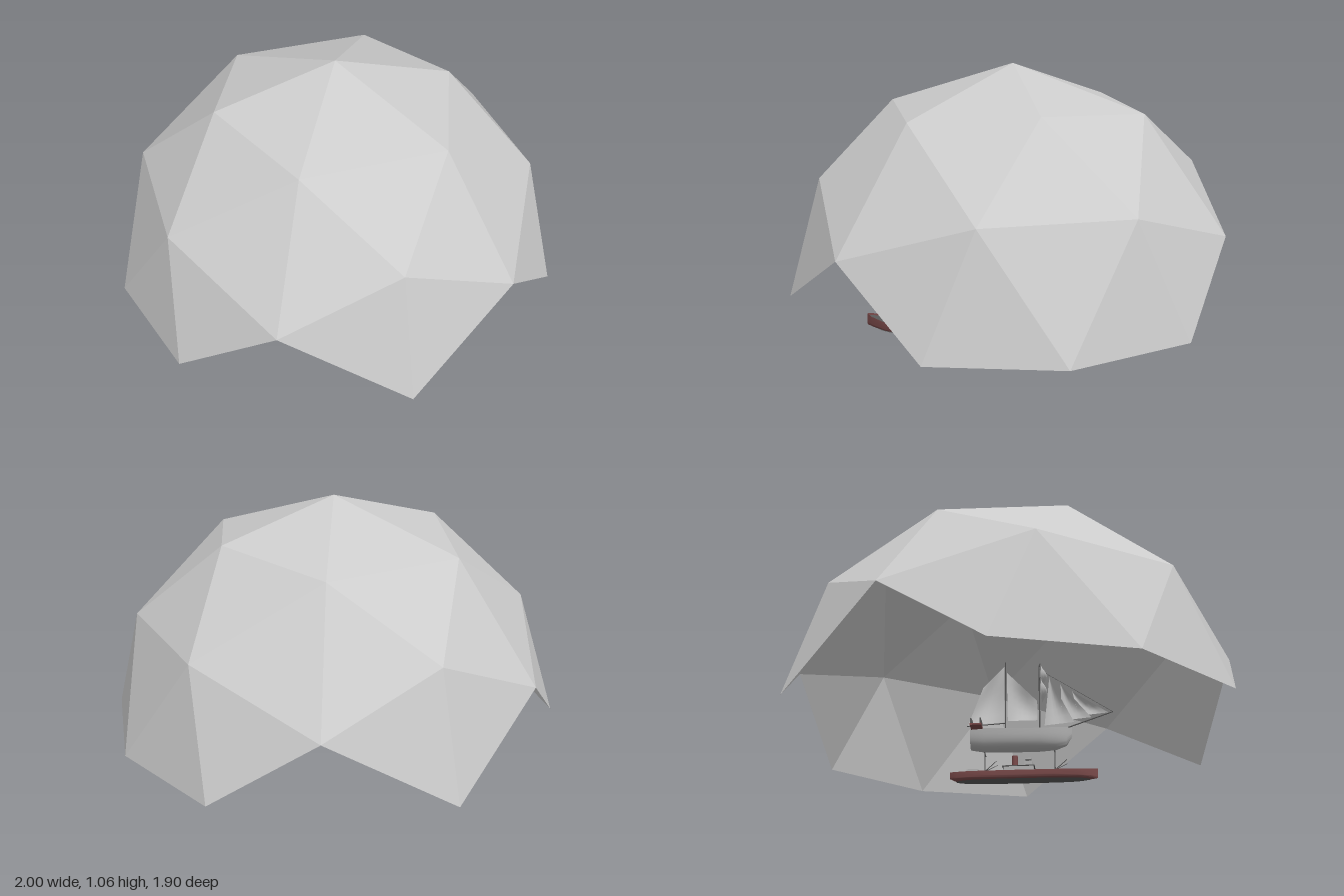
import * as THREE from 'three';
import { toCreasedNormals } from 'three/addons/utils/BufferGeometryUtils.js';

const paint = (name, hex) => {
  const m = new THREE.MeshStandardMaterial({ color: hex, side: THREE.DoubleSide });
  m.name = name;
  return m;
};

export function createModel() {
  const shellGrey = paint('shell grey', 0xcccccc);
  const sailGrey = paint('sail grey', 0xc4c4c4);
  const woodGrey = paint('hull grey', 0xb0b0b0);
  const maroon = paint('maroon', 0x7a4a4a);
  const darkGrey = paint('dark grey', 0x5a5a5a);

  const root = new THREE.Group();
  const V = (x, y, z) => new THREE.Vector3(x, y, z);

  function add(parent, name, geometry, material, x = 0, y = 0, z = 0) {
    const m = new THREE.Mesh(geometry, material);
    m.name = name;
    m.position.set(x, y, z);
    parent.add(m);
    return m;
  }
  const box = (p, name, mat, w, h, d, x, y, z) => add(p, name, new THREE.BoxGeometry(w, h, d), mat, x, y, z);

  // Thin round bar between two points
  function spar(p, name, mat, a, b, r = 0.0025) {
    const dir = b.clone().sub(a);
    const m = add(p, name, new THREE.CylinderGeometry(r * 0.8, r, dir.length(), 6), mat);
    m.position.copy(a).add(b).multiplyScalar(0.5);
    m.quaternion.setFromUnitVectors(V(0, 1, 0), dir.normalize());
    return m;
  }

  // Surface made from a grid of points fn(u, v)
  function grid(fn, nu, nv) {
    const pos = [], idx = [];
    for (let i = 0; i <= nu; i++) for (let j = 0; j <= nv; j++) pos.push(...fn(i / nu, j / nv, i).toArray());
    for (let i = 0; i < nu; i++) for (let j = 0; j < nv; j++) {
      const a = i * (nv + 1) + j, b = a + nv + 1;
      idx.push(a, a + 1, b, b, a + 1, b + 1);
    }
    const g = new THREE.BufferGeometry();
    g.setAttribute('position', new THREE.Float32BufferAttribute(pos, 3));
    g.setIndex(idx);
    g.computeVertexNormals();
    return g;
  }

  // Hull from stations [z, halfBeam, keelY, topY], with a flat deck
  function hull(p, stations, power, mat, deckMat, deckDrop) {
    const n = stations.length - 1;
    const skin = grid((u, v, i) => {
      const [z, b, k, t] = stations[i], a = v * Math.PI;
      const c = Math.cos(a);
      return V(Math.sign(c) * b * Math.abs(c) ** power, t - (t - k) * Math.abs(Math.sin(a)) ** power, z);
    }, n, 16);
    add(p, 'hull', toCreasedNormals(skin, 0.9), mat);
    add(p, 'deck', grid((u, v, i) => {
      const [z, b, , t] = stations[i];
      return V(b * 0.97 * (1 - 2 * v), t - deckDrop, z);
    }, n, 2), deckMat);
  }

  // Four-cornered sail with a billow
  function sail(p, name, a, b, c, d, billow) {
    add(p, name, grid((u, v) => {
      const q = a.clone().lerp(b, u).lerp(d.clone().lerp(c, u), v);
      return q.addScaledVector(billow, Math.sin(u * Math.PI) * Math.sin(v * Math.PI));
    }, 6, 6), sailGrey);
  }

  // Faceted dome: upper half of a once-divided icosahedron, whole faces only
  const src = new THREE.IcosahedronGeometry(1, 1).getAttribute('position');
  const kept = [];
  for (let i = 0; i < src.count; i += 3) {
    const tri = [0, 1, 2].map(k => V().fromBufferAttribute(src, i + k));
    if (tri.every(q => q.y > -0.01)) tri.forEach(q => kept.push(q.x, q.y, q.z));
  }
  const domeGeo = new THREE.BufferGeometry();
  domeGeo.setAttribute('position', new THREE.Float32BufferAttribute(kept, 3));
  domeGeo.computeVertexNormals();
  add(root, 'dome', domeGeo, shellGrey, 0, 0.057, 0).rotation.y = Math.atan((Math.sqrt(5) - 1) / 2);

  // Sailing ship, bow towards +z
  const ship = new THREE.Group();
  ship.name = 'sailingShip';
  ship.position.x = 0.07;
  root.add(ship);
  hull(ship, [
    [-0.18, 0, 0.07, 0.1], [-0.18, 0.045, 0.012, 0.1], [-0.12, 0.056, 0.002, 0.092], [0, 0.06, 0, 0.085],
    [0.12, 0.058, 0, 0.085], [0.19, 0.046, 0.004, 0.09], [0.235, 0.025, 0.02, 0.096], [0.26, 0.002, 0.06, 0.1],
  ], 0.75, woodGrey, woodGrey, 0.006);
  spar(ship, 'bowsprit', darkGrey, V(0, 0.095, 0.22), V(0, 0.17, 0.44), 0.003);
  spar(ship, 'foreMast', darkGrey, V(0, 0.08, 0.12), V(0, 0.4, 0.12), 0.003);
  spar(ship, 'mainMast', darkGrey, V(0, 0.08, -0.03), V(0, 0.42, -0.03), 0.003);
  spar(ship, 'forestay', darkGrey, V(0, 0.17, 0.44), V(0, 0.38, 0.12), 0.001);
  spar(ship, 'spankerBoom', darkGrey, V(0, 0.13, -0.03), V(0, 0.12, -0.2));

  // Square sails on the foremast and their yards
  [[0.24, 0.31, 0.08, 0.072], [0.315, 0.38, 0.07, 0.06]].forEach(([y0, y1, w0, w1]) => {
    sail(ship, 'squareSail', V(-w0, y0, 0.13), V(w0, y0, 0.13), V(w1, y1, 0.13), V(-w1, y1, 0.13), V(0, 0, 0.025));
    spar(ship, 'yard', darkGrey, V(-w1 - 0.005, y1, 0.127), V(w1 + 0.005, y1, 0.127));
  });
  // Fore-and-aft sails behind each mast
  sail(ship, 'spanker', V(0, 0.135, -0.035), V(0, 0.125, -0.195), V(0, 0.3, -0.13), V(0, 0.4, -0.035), V(0.02, 0, 0));
  sail(ship, 'mainStaysail', V(0, 0.14, 0.11), V(0, 0.14, -0.02), V(0, 0.37, -0.025), V(0, 0.23, 0.11), V(0.02, 0, 0));
  // Jibs along the forestay
  for (let i = 0; i < 3; i++) {
    const z = 0.42 - i * 0.075, y = 0.167 - i * 0.02;
    const head = V(0, 0.27 + i * 0.035, 0.265 - i * 0.05);
    sail(ship, 'jib', V(0, y, z), V(0.02, y - 0.005, z - 0.13), head, head, V(0.02, 0, 0));
  }

  // Small railing beside the stern
  const railing = new THREE.Group();
  railing.name = 'sternRailing';
  railing.position.set(-0.005, 0, -0.15);
  root.add(railing);
  box(railing, 'rail', maroon, 0.07, 0.008, 0.05, 0, 0.092, 0);
  for (let i = 0; i < 6; i++) for (const z of [-0.02, 0.02]) {
    box(railing, 'post', darkGrey, 0.006, 0.028, 0.006, -0.031 + i * 0.0124, 0.106, z);
  }

  // Steamship
  const steamer = new THREE.Group();
  steamer.name = 'steamship';
  steamer.position.x = 0.71;
  root.add(steamer);
  hull(steamer, [
    [-0.365, 0.003, 0.075, 0.108], [-0.33, 0.03, 0.062, 0.102], [-0.26, 0.05, 0.059, 0.099], [-0.1, 0.055, 0.058, 0.098],
    [0.15, 0.055, 0.058, 0.098], [0.27, 0.046, 0.059, 0.1], [0.34, 0.02, 0.06, 0.105], [0.37, 0.002, 0.062, 0.11],
  ], 0.35, maroon, darkGrey, 0.008);
  // Flat bottom
  add(steamer, 'hullBottom', grid((u, v) => {
    const z = -0.33 + u * 0.66, w = 0.046 * Math.sqrt(Math.max(0, 1 - (z / 0.335) ** 4));
    return V(w * (1 - 2 * v), 0.0575, z);
  }, 16, 2), darkGrey);
  // Deckhouses
  box(steamer, 'deckhouse', woodGrey, 0.075, 0.03, 0.15, 0, 0.108, -0.02);
  box(steamer, 'deckhouseRoof', darkGrey, 0.085, 0.004, 0.16, 0, 0.124, -0.02);
  box(steamer, 'bridge', woodGrey, 0.06, 0.025, 0.04, 0, 0.138, 0.03);
  box(steamer, 'bridgeWings', woodGrey, 0.12, 0.006, 0.03, 0, 0.153, 0.03);
  box(steamer, 'aftHouse', woodGrey, 0.055, 0.022, 0.06, 0, 0.104, -0.25);
  for (const z of [0.12, 0.2, -0.15]) box(steamer, 'hatch', maroon, 0.045, 0.014, 0.045, 0, 0.1, z);
  add(steamer, 'funnel', new THREE.CylinderGeometry(0.014, 0.015, 0.06, 16), maroon, 0, 0.155, -0.04);
  // Masts with cross yards
  for (const z of [0.16, -0.19]) {
    spar(steamer, 'mast', darkGrey, V(0, 0.09, z), V(0, 0.212, z), 0.003);
    spar(steamer, 'crossYard', darkGrey, V(-0.042, 0.2, z), V(0.042, 0.2, z), 0.003);
    for (const s of [-1, 1]) spar(steamer, 'derrick', darkGrey, V(0, 0.11, z), V(s * 0.035, 0.15, z + 0.06), 0.002);
  }
  return root;
}
